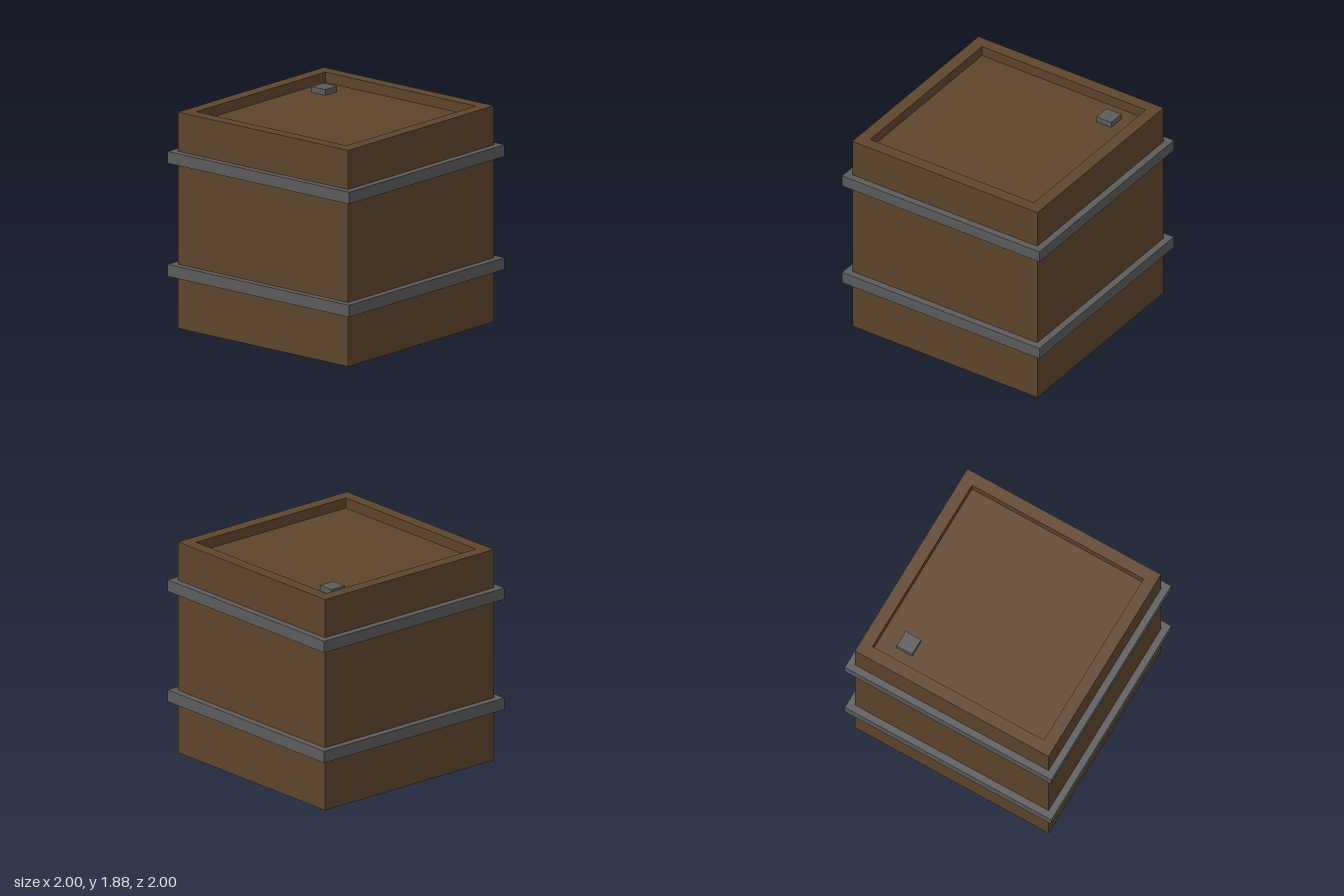
import * as THREE from 'three';

const wood = new THREE.MeshStandardMaterial({ color: 0x5f452c, flatShading: true });
wood.name = 'brown wood';
const metal = new THREE.MeshStandardMaterial({ color: 0x5c5c5c, flatShading: true });
metal.name = 'grey metal';

// Sweeps a [half-width, height] profile around a square plan, with hard corners.
function squareLathe(profile) {
  const points = profile.map(([r, y]) => new THREE.Vector2(r * Math.SQRT2, y));
  const geometry = new THREE.LatheGeometry(points, 4, Math.PI / 4).toNonIndexed();
  geometry.computeVertexNormals();
  return geometry;
}

export function createModel() {
  const group = new THREE.Group();
  const add = (name, geometry, material) => {
    const mesh = new THREE.Mesh(geometry, material);
    mesh.name = name;
    group.add(mesh);
    return mesh;
  };

  const half = 0.938, height = 1.877, rim = 0.83, lidY = 1.787;

  // Crate body with a raised rim around the sunken lid
  add('crateBody', squareLathe([
    [0, 0], [half, 0], [half, height], [rim, height], [rim, lidY], [0, lidY],
  ]), wood);

  // Two metal bands wrapped around the crate
  for (const [name, y0, y1] of [['lowerBand', 0.453, 0.557], ['upperBand', 1.435, 1.537]]) {
    add(name, squareLathe([[0.92, y0], [1, y0], [1, y1], [0.92, y1]]), metal);
  }

  // Small bung on the back corner of the lid
  add('bung', new THREE.BoxGeometry(0.15, 0.07, 0.15), metal).position.set(0.59, 1.802, -0.635);

  return group;
}
